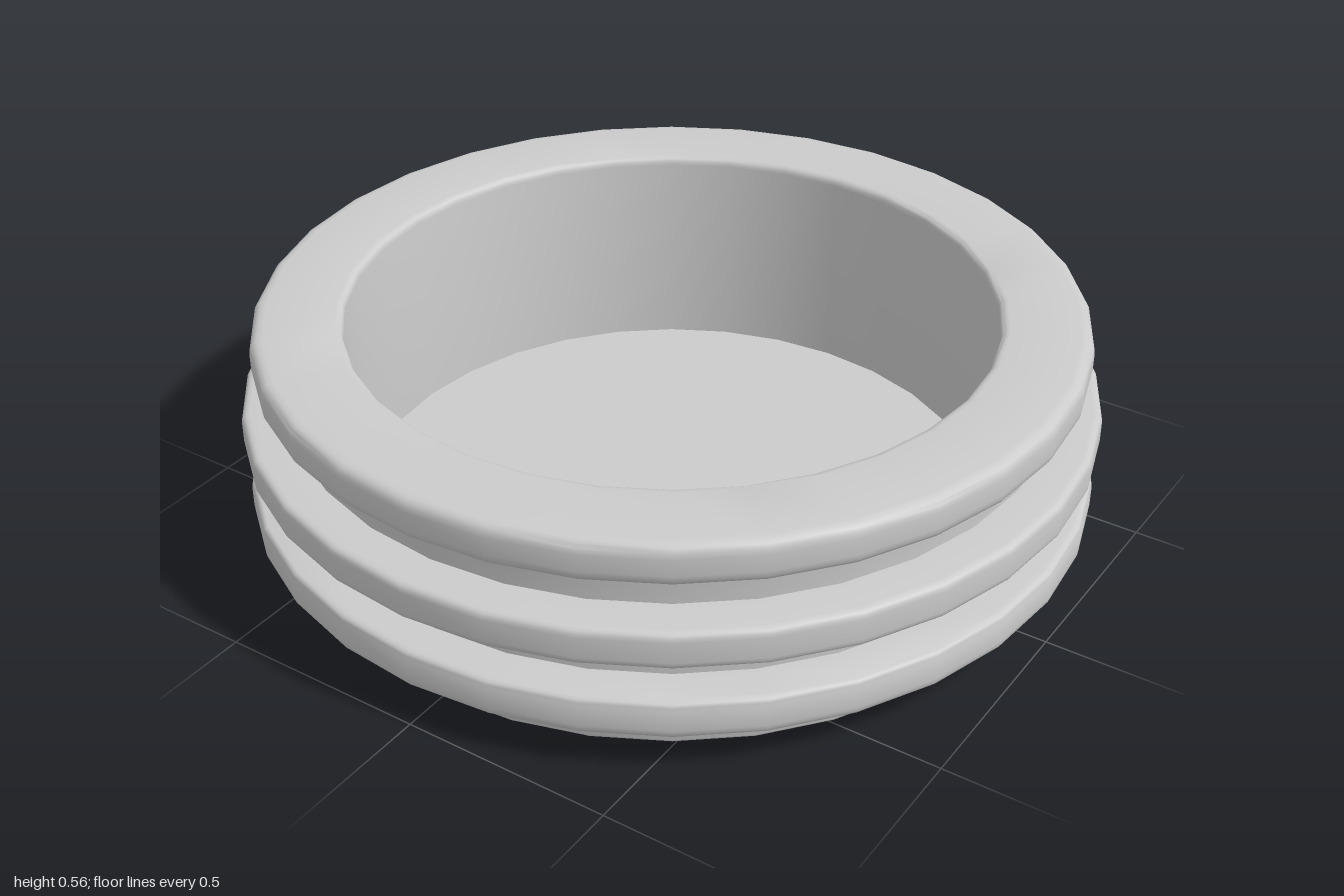
import * as THREE from 'three';
import { toCreasedNormals } from 'three/addons/utils/BufferGeometryUtils.js';

const SIDES = 32;

// Turn [radius, height, rounding] corners into a closed profile with rounded corners
function roundedProfile(corners) {
  const points = [];
  const n = corners.length;
  corners.forEach(([x, y, rounding], i) => {
    const corner = new THREE.Vector2(x, y);
    if (!rounding) {
      points.push(corner);
      return;
    }
    const towards = ([px, py]) =>
      new THREE.Vector2(px, py).sub(corner).setLength(rounding).add(corner);
    const start = towards(corners[(i + n - 1) % n]);
    const end = towards(corners[(i + 1) % n]);
    points.push(...new THREE.QuadraticBezierCurve(start, corner, end).getPoints(4));
  });
  points.push(points[0].clone());
  return points;
}

export function createModel() {
  const group = new THREE.Group();
  group.name = 'ribbedDish';
  const material = new THREE.MeshStandardMaterial({ color: 0xcccccc, side: THREE.DoubleSide });

  // Ring wall with three rounded flanges, filleted beneath
  const profile = roundedProfile([
    [0.75, 0, 0],
    [0.897, 0, 0.02],
    [0.897, 0.095, 0.025],
    [0.995, 0.095, 0.025],
    [0.995, 0.19, 0.02],
    [0.897, 0.19, 0],
    [0.897, 0.28, 0.02],
    [1, 0.28, 0.02],
    [1, 0.37, 0.02],
    [0.897, 0.37, 0],
    [0.897, 0.457, 0.025],
    [0.965, 0.457, 0.03],
    [0.965, 0.557, 0.03],
    [0.755, 0.557, 0.02],
  ]);
  const wall = new THREE.Mesh(
    toCreasedNormals(new THREE.LatheGeometry(profile, SIDES), THREE.MathUtils.degToRad(42)),
    material
  );
  wall.name = 'flangedWall';
  group.add(wall);

  // Flat floor, recessed slightly above the bottom rim
  const floor = new THREE.Mesh(new THREE.CircleGeometry(0.752, SIDES), material);
  floor.name = 'floor';
  floor.rotation.x = -Math.PI / 2;
  floor.position.y = 0.043;
  group.add(floor);

  return group;
}
